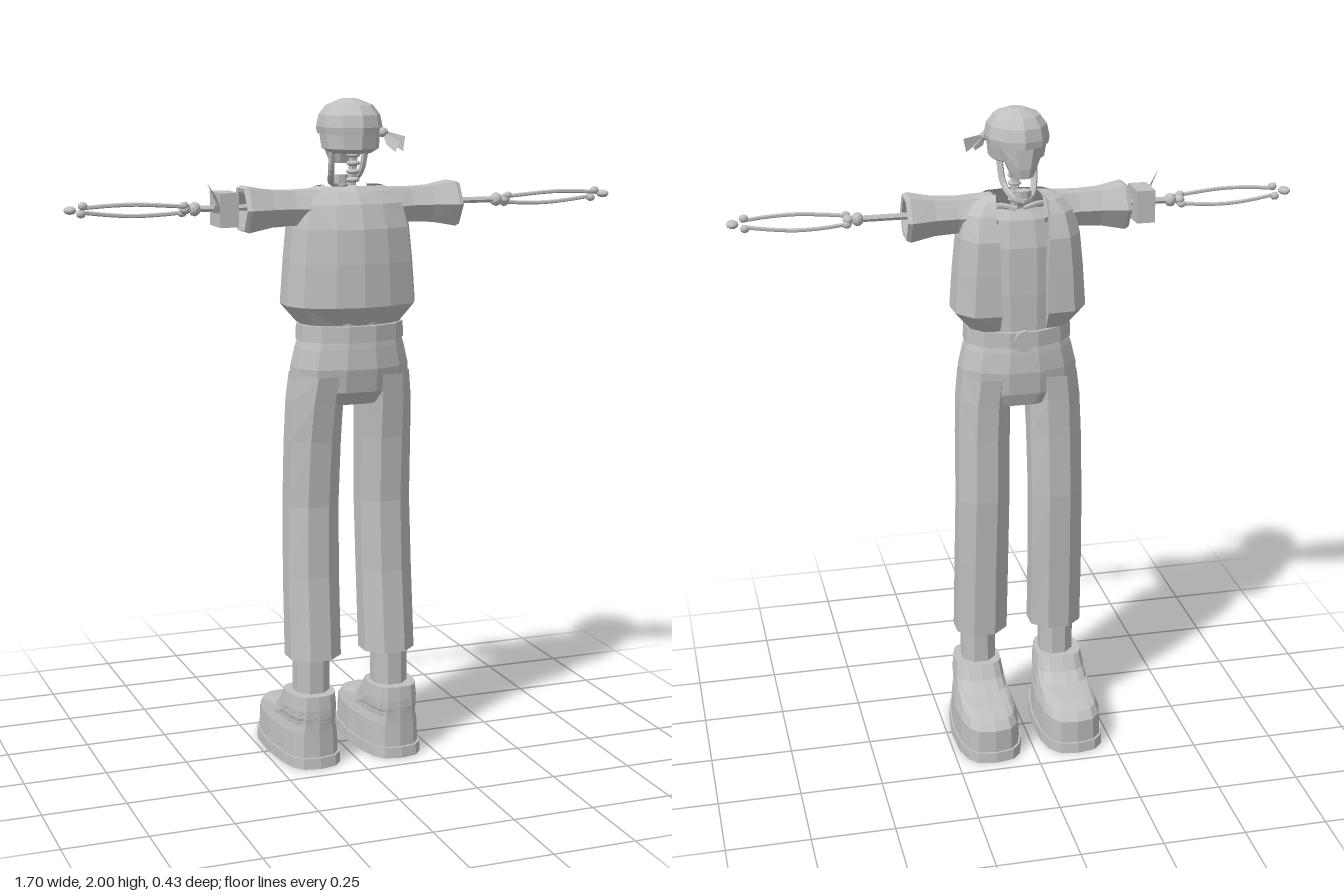
import * as THREE from 'three';

const bodyGrey = new THREE.MeshStandardMaterial({ color: 0xc0c0c0, flatShading: true, side: THREE.DoubleSide });
bodyGrey.name = 'bodyGrey';

const V = (x, y, z) => new THREE.Vector3(x, y, z);

function add(parent, name, geometry) {
  const mesh = new THREE.Mesh(geometry, bodyGrey);
  mesh.name = name;
  parent.add(mesh);
  return mesh;
}

// Skin through a list of rings with equal point counts
function loft(rings, { closed = true, start = false, end = false } = {}) {
  const n = rings[0].length, pos = [], idx = [];
  rings.forEach(r => r.forEach(p => pos.push(p.x, p.y, p.z)));
  for (let i = 0; i < rings.length - 1; i++) {
    for (let j = 0; j < (closed ? n : n - 1); j++) {
      const k = (j + 1) % n, a = i * n + j, b = i * n + k;
      idx.push(a, a + n, b + n, a, b + n, b);
    }
  }
  const last = (rings.length - 1) * n;
  for (let j = 1; j < n - 1; j++) {
    if (start) idx.push(0, j, j + 1);
    if (end) idx.push(last, last + j + 1, last + j);
  }
  const g = new THREE.BufferGeometry();
  g.setAttribute('position', new THREE.Float32BufferAttribute(pos, 3));
  g.setIndex(idx);
  const flat = g.toNonIndexed();
  flat.computeVertexNormals();
  return flat;
}

// Horizontal ring whose flat sides touch the given half sizes
function ring(y, cx, rx, zBack, zFront, n = 8) {
  const k = 1 / Math.cos(Math.PI / n), cz = (zBack + zFront) / 2, rz = (zBack - zFront) / 2;
  return Array.from({ length: n }, (_, i) => {
    const a = (i + 0.5) / n * Math.PI * 2;
    return V(cx + Math.cos(a) * rx * k, y, cz + Math.sin(a) * rz * k);
  });
}

// Rounded shoe outline, slightly narrower at the heel
function footprint(y, zBack, zToe, rx) {
  const soft = v => Math.sign(v) * Math.abs(v) ** 0.65;
  return Array.from({ length: 16 }, (_, i) => {
    const a = i / 16 * Math.PI * 2, s = Math.sin(a);
    return V(0.132 + soft(Math.cos(a)) * rx * (s > 0.3 ? 0.92 : 1), y,
      (zBack + zToe) / 2 + soft(s) * (zBack - zToe) / 2);
  });
}

// Ring around the arm axis
function armRing(x, cy, ry, rz, n = 6) {
  return Array.from({ length: n }, (_, i) => {
    const a = i / n * Math.PI * 2;
    return V(x, cy + Math.sin(a) * ry / Math.sin(Math.PI / 3), 0.087 + Math.cos(a) * rz);
  });
}

// Open jacket outline: front edge, round the back, other front edge
function jacketRing(y, hx, zb, zf, gap) {
  const half = [[gap, zf + 0.035], [gap, zf], [hx * 0.75, zf + 0.005], [hx * 0.98, zf + (zb - zf) * 0.25],
    [hx, zf + (zb - zf) * 0.55], [hx * 0.85, zb - (zb - zf) * 0.2], [hx * 0.42, zb - 0.012], [0, zb]];
  const right = half.map(([x, z]) => V(x, y, z));
  const left = half.slice(0, -1).reverse().map(([x, z]) => V(-x, y, z));
  return [...right, ...left];
}

const tube = (points, r, seg = 8) =>
  new THREE.TubeGeometry(new THREE.CatmullRomCurve3(points.map(p => V(...p))), seg, r, 6);

function blob(parent, name, p, s) {
  const m = add(parent, name, new THREE.IcosahedronGeometry(1, 1));
  m.position.set(...p);
  m.scale.set(...s);
}

// Pointed cloth end
function clothEnd(parent, name, points) {
  const g = new THREE.BufferGeometry().setFromPoints(points.map(p => V(...p)));
  g.setIndex([0, 1, 2, 0, 2, 3]);
  g.computeVertexNormals();
  add(parent, name, g);
}

function buildLeg() {
  const leg = new THREE.Group();
  add(leg, 'trouserLeg', loft([
    ring(0.33, 0.12, 0.065, 0.15, 0.03), ring(0.33, 0.12, 0.08, 0.165, 0.015),
    ring(0.58, 0.118, 0.08, 0.14, 0), ring(0.8, 0.115, 0.079, 0.133, -0.015),
    ring(1.0, 0.112, 0.079, 0.15, -0.012), ring(1.12, 0.108, 0.078, 0.17, -0.015),
    ring(1.2, 0.1, 0.076, 0.185, -0.02)], { start: true }));
  add(leg, 'sock', loft([ring(0.2, 0.127, 0.052, 0.146, 0.042), ring(0.36, 0.127, 0.052, 0.146, 0.042)]));
  add(leg, 'shoeSole', loft([footprint(0, 0.198, -0.213, 0.104), footprint(0.033, 0.195, -0.21, 0.103)],
    { start: true, end: true }));
  add(leg, 'shoeUpper', loft([
    footprint(0.033, 0.186, -0.203, 0.098), footprint(0.105, 0.184, -0.202, 0.094),
    footprint(0.13, 0.184, -0.18, 0.086), footprint(0.145, 0.184, -0.12, 0.083),
    footprint(0.155, 0.184, -0.05, 0.082), footprint(0.18, 0.183, -0.01, 0.08),
    footprint(0.222, 0.178, 0.018, 0.074)], { end: true }));
  return leg;
}

function buildArm() {
  const arm = new THREE.Group();
  add(arm, 'sleeve', loft([
    armRing(0.07, 1.685, 0.058, 0.075), armRing(0.18, 1.69, 0.05, 0.054), armRing(0.25, 1.69, 0.053, 0.058),
    armRing(0.322, 1.69, 0.066, 0.075), armRing(0.335, 1.69, 0.06, 0.07),
    armRing(0.332, 1.69, 0.048, 0.056), armRing(0.2, 1.69, 0.04, 0.045)]));
  add(arm, 'upperArmBone', tube([[0.08, 1.695, 0.085], [0.3, 1.695, 0.085], [0.47, 1.695, 0.085]], 0.01));
  blob(arm, 'elbow', [0.472, 1.695, 0.085], [0.018, 0.021, 0.02]);
  blob(arm, 'elbowTip', [0.5, 1.695, 0.085], [0.016, 0.015, 0.021]);
  for (const s of [-1, 1]) {
    add(arm, 'forearmBone', tube([[0.49, 1.695 + s * 0.008, 0.085 + s * 0.01],
      [0.56, 1.695 + s * 0.014, 0.085 + s * 0.018], [0.65, 1.697 + s * 0.018, 0.085 + s * 0.021],
      [0.74, 1.7 + s * 0.013, 0.085 + s * 0.017], [0.805, 1.702 + s * 0.006, 0.085 + s * 0.01]], 0.006, 10));
    blob(arm, 'forearmKnob', [0.505, 1.695 + s * 0.012, 0.085 + s * 0.012], [0.014, 0.011, 0.011]);
    blob(arm, 'wristKnob', [0.798, 1.702 + s * 0.012, 0.085 + s * 0.012], [0.014, 0.012, 0.012]);
  }
  blob(arm, 'hand', [0.832, 1.702, 0.085], [0.018, 0.012, 0.025]);
  add(arm, 'collarBone', tube([[0.01, 1.71, 0.035], [0.06, 1.72, 0.05], [0.12, 1.7, 0.08]], 0.008));
  return arm;
}

function buildHead() {
  const head = new THREE.Group();
  // Cranium and head scarf
  add(head, 'cranium', loft([
    ring(1.845, 0, 0.055, 0.16, 0.04, 10), ring(1.858, 0, 0.078, 0.183, 0, 10),
    ring(1.92, 0, 0.084, 0.187, -0.022, 10)], { start: true }));
  add(head, 'headScarf', loft([
    ring(1.9, 0, 0.086, 0.192, -0.03, 10), ring(1.92, 0, 0.09, 0.194, -0.03, 10),
    ring(1.955, 0, 0.083, 0.186, -0.02, 10), ring(1.982, 0, 0.064, 0.16, 0.005, 10),
    ring(2.0, 0, 0.022, 0.108, 0.055, 10)], { end: true }));
  // Face bones and jaw
  add(head, 'upperJaw', loft([
    ring(1.812, 0, 0.03, 0.045, -0.02), ring(1.84, 0, 0.042, 0.055, -0.024),
    ring(1.9, 0, 0.065, 0.07, -0.022)], { start: true }));
  add(head, 'lowerJaw', tube([[-0.052, 1.85, 0.08], [-0.046, 1.785, 0.055], [-0.026, 1.752, 0.005],
    [0, 1.745, -0.012], [0.026, 1.752, 0.005], [0.046, 1.785, 0.055], [0.052, 1.85, 0.08]], 0.01, 18));
  add(head, 'lowerTeeth', loft([ring(1.75, 0, 0.024, 0.02, -0.016), ring(1.775, 0, 0.024, 0.02, -0.018)],
    { end: true }));
  // Knot and loose ends
  blob(head, 'scarfKnot', [0.078, 1.905, 0.15], [0.016, 0.015, 0.016]);
  clothEnd(head, 'scarfEnd', [[0.075, 1.912, 0.15], [0.14, 1.893, 0.17], [0.13, 1.85, 0.18], [0.105, 1.872, 0.165]]);
  clothEnd(head, 'scarfEnd', [[0.075, 1.908, 0.152], [0.115, 1.88, 0.19], [0.1, 1.85, 0.195], [0.08, 1.87, 0.175]]);
  // Neck vertebrae
  add(head, 'spine', tube([[0, 1.6, 0.13], [0, 1.74, 0.105], [0, 1.86, 0.12]], 0.013));
  for (let i = 0; i < 6; i++) blob(head, 'vertebra', [0, 1.72 + i * 0.024, 0.108 + i * 0.002], [0.021, 0.009, 0.02]);
  return head;
}

export function createModel() {
  const model = new THREE.Group();
  model.name = 'skeletonFigure';
  for (const side of [1, -1]) {
    const leg = buildLeg(), arm = buildArm();
    leg.name = side > 0 ? 'leftLeg' : 'rightLeg';
    arm.name = side > 0 ? 'leftArm' : 'rightArm';
    leg.scale.x = arm.scale.x = side;
    model.add(leg, arm);
  }

  // Hips and belt
  add(model, 'hips', loft([
    ring(1.11, 0, 0.13, 0.155, -0.005, 12), ring(1.15, 0, 0.18, 0.182, -0.02, 12),
    ring(1.22, 0, 0.176, 0.196, -0.028, 12), ring(1.28, 0, 0.162, 0.192, -0.022, 12),
    ring(1.31, 0, 0.152, 0.188, -0.016, 12)], { start: true, end: true }));
  add(model, 'belt', loft([ring(1.3, 0, 0.16, 0.197, -0.024, 12), ring(1.348, 0, 0.158, 0.197, -0.024, 12)],
    { start: true, end: true }));
  const buckle = add(model, 'beltBuckle', new THREE.CylinderGeometry(0.033, 0.033, 0.014, 12));
  buckle.rotation.x = Math.PI / 2;
  buckle.position.set(0, 1.322, -0.028);

  // Shirt and open jacket
  add(model, 'shirt', loft([
    ring(1.33, 0, 0.145, 0.18, -0.012, 12), ring(1.46, 0, 0.155, 0.19, -0.012, 12),
    ring(1.6, 0, 0.155, 0.185, -0.005, 12), ring(1.68, 0, 0.14, 0.165, 0.015, 12),
    ring(1.71, 0, 0.11, 0.14, 0.035, 12)]));
  add(model, 'jacket', loft([
    jacketRing(1.35, 0.155, 0.185, -0.005, 0.07), jacketRing(1.405, 0.202, 0.218, -0.036, 0.07),
    jacketRing(1.53, 0.193, 0.214, -0.034, 0.07), jacketRing(1.63, 0.183, 0.205, -0.03, 0.075),
    jacketRing(1.7, 0.168, 0.18, -0.005, 0.08), jacketRing(1.735, 0.135, 0.152, 0.018, 0.08),
    jacketRing(1.75, 0.1, 0.135, 0.04, 0.07)], { closed: false }));

  // Cloth tied round one arm
  const armband = new THREE.Group();
  armband.name = 'armband';
  add(armband, 'armbandWrap', new THREE.BoxGeometry(0.056, 0.098, 0.1)).position.set(-0.382, 1.692, 0.082);
  clothEnd(armband, 'armbandEnd', [[-0.405, 1.7, 0.125], [-0.425, 1.735, 0.14], [-0.452, 1.772, 0.15], [-0.418, 1.7, 0.142]]);
  clothEnd(armband, 'armbandEnd', [[-0.405, 1.7, 0.125], [-0.43, 1.71, 0.15], [-0.442, 1.69, 0.168], [-0.415, 1.685, 0.14]]);
  model.add(armband);

  const head = buildHead();
  head.name = 'head';
  model.add(head);
  return model;
}
